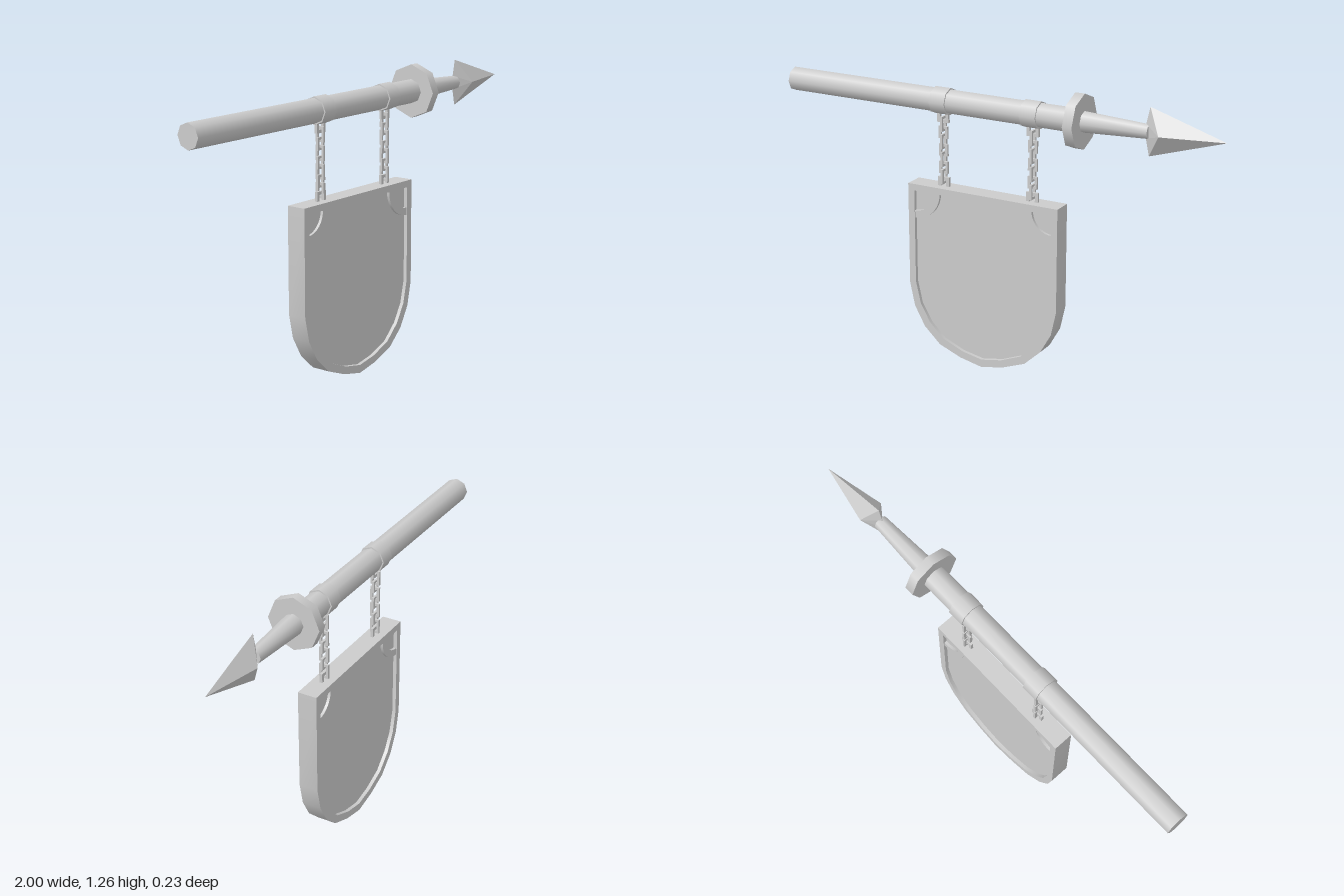
import * as THREE from 'three';
import { toCreasedNormals } from 'three/addons/utils/BufferGeometryUtils.js';

const smooth = new THREE.MeshStandardMaterial({ color: 0xcccccc });
const flat = new THREE.MeshStandardMaterial({ color: 0xcccccc, flatShading: true });
const POLE_Y = 1.148;
const BOARD_X = -0.048;

function add(parent, name, geometry, material = smooth) {
  const mesh = new THREE.Mesh(geometry, material);
  mesh.name = name;
  parent.add(mesh);
  return mesh;
}

// Eight-sided round part lying along x, from x0 to x1
function rod(parent, name, x0, x1, r0, r1 = r0) {
  const g = new THREE.CylinderGeometry(r1, r0, x1 - x0, 8).rotateZ(-Math.PI / 2);
  g.translate((x0 + x1) / 2, POLE_Y, 0);
  return add(parent, name, g);
}

// Extrusion centred on z = 0, smooth along curves and sharp at corners
function slab(shape, depth) {
  const g = new THREE.ExtrudeGeometry(shape, { depth, bevelEnabled: false, curveSegments: 5 });
  return toCreasedNormals(g.translate(0, 0, -depth / 2), 0.6);
}

// Counter-clockwise shield outline; half runs from top right to bottom centre
function shieldPoints(half) {
  const left = half.slice(0, -1).map(([x, y]) => [-x, y]);
  return [...left, ...half.slice().reverse()].map(([x, y]) => new THREE.Vector2(x, y));
}

function rectangle(Type, w, h) {
  return new Type([[-1, -1], [1, -1], [1, 1], [-1, 1]]
    .map(([x, y]) => new THREE.Vector2(x * w / 2, y * h / 2)));
}

function linkGeometry(w, h, t, depth) {
  const shape = rectangle(THREE.Shape, w, h);
  shape.holes.push(rectangle(THREE.Path, w - 2 * t, h - 2 * t));
  return slab(shape, depth);
}

// Diamond-section head with a notched back
function spearHead() {
  const tip = [1, 0, 0], top = [0.68, 0.1, 0], bottom = [0.68, -0.1, 0];
  const front = [0.74, 0, 0.055], back = [0.74, 0, -0.055];
  const upper = [0.665, 0.03, 0], lower = [0.665, -0.03, 0];
  const faces = [
    [tip, top, front], [tip, front, bottom], [tip, bottom, back], [tip, back, top],
    [top, upper, front], [upper, lower, front], [lower, bottom, front],
    [top, back, upper], [upper, back, lower], [lower, back, bottom],
  ];
  const g = new THREE.BufferGeometry();
  g.setAttribute('position', new THREE.Float32BufferAttribute(faces.flat(2), 3));
  g.computeVertexNormals();
  return g.translate(0, POLE_Y, 0);
}

function board() {
  const group = new THREE.Group();
  group.name = 'signBoard';
  group.position.x = BOARD_X;
  const outer = shieldPoints([[0.355, 0.777], [0.355, 0.325], [0.332, 0.22], [0.283, 0.132],
    [0.208, 0.062], [0.105, 0.022], [0, 0]]);
  const inner = shieldPoints([[0.325, 0.748], [0.325, 0.335], [0.302, 0.235], [0.257, 0.157],
    [0.19, 0.092], [0.095, 0.053], [0, 0.035]]);

  // Raised rim around a recessed panel
  const rim = new THREE.Shape(outer);
  rim.holes.push(new THREE.Path(inner));
  add(group, 'boardRim', slab(rim, 0.086));
  add(group, 'boardPanel', slab(new THREE.Shape(inner), 0.054));

  // Curved bands across the upper corners
  for (const side of [-1, 1]) {
    const start = side < 0 ? -Math.PI / 2 : Math.PI;
    const end = start + Math.PI / 2;
    const band = new THREE.Shape();
    band.absarc(side * 0.325, 0.748, 0.122, start, end, false);
    band.absarc(side * 0.325, 0.748, 0.09, end, start, true);
    add(group, 'cornerBand', slab(band, 0.078));
  }
  return group;
}

// Collar on the pole with a chain down to the board
function hanger(x) {
  const group = new THREE.Group();
  group.name = 'hanger';
  rod(group, 'collar', x - 0.036, x + 0.036, 0.058);

  const bracket = linkGeometry(0.054, 0.06, 0.014, 0.012);
  add(group, 'upperBracket', bracket).position.set(x, 1.085, 0);
  add(group, 'lowerBracket', bracket).position.set(x, 0.787, 0);

  // Tall links face sideways, shorter ones between them face forward
  const sideLink = linkGeometry(0.042, 0.064, 0.011, 0.01).rotateY(Math.PI / 2);
  const frontLink = linkGeometry(0.042, 0.053, 0.011, 0.01);
  for (let i = 0; i < 7; i++) {
    const link = add(group, 'chainLink', i % 2 ? frontLink : sideLink);
    link.position.set(x, 1.05 - i * 0.0383, 0);
  }
  return group;
}

export function createModel() {
  const model = new THREE.Group();
  model.name = 'hangingSign';

  // Spear used as the hanging pole
  const spear = new THREE.Group();
  spear.name = 'spear';
  rod(spear, 'pole', -1, 0.36, 0.052);
  rod(spear, 'guardDisc', 0.357, 0.399, 0.115);
  rod(spear, 'taperedNeck', 0.39, 0.68, 0.045, 0.03);
  add(spear, 'spearHead', spearHead(), flat);
  model.add(spear);

  model.add(hanger(BOARD_X - 0.203), hanger(BOARD_X + 0.219), board());
  return model;
}
